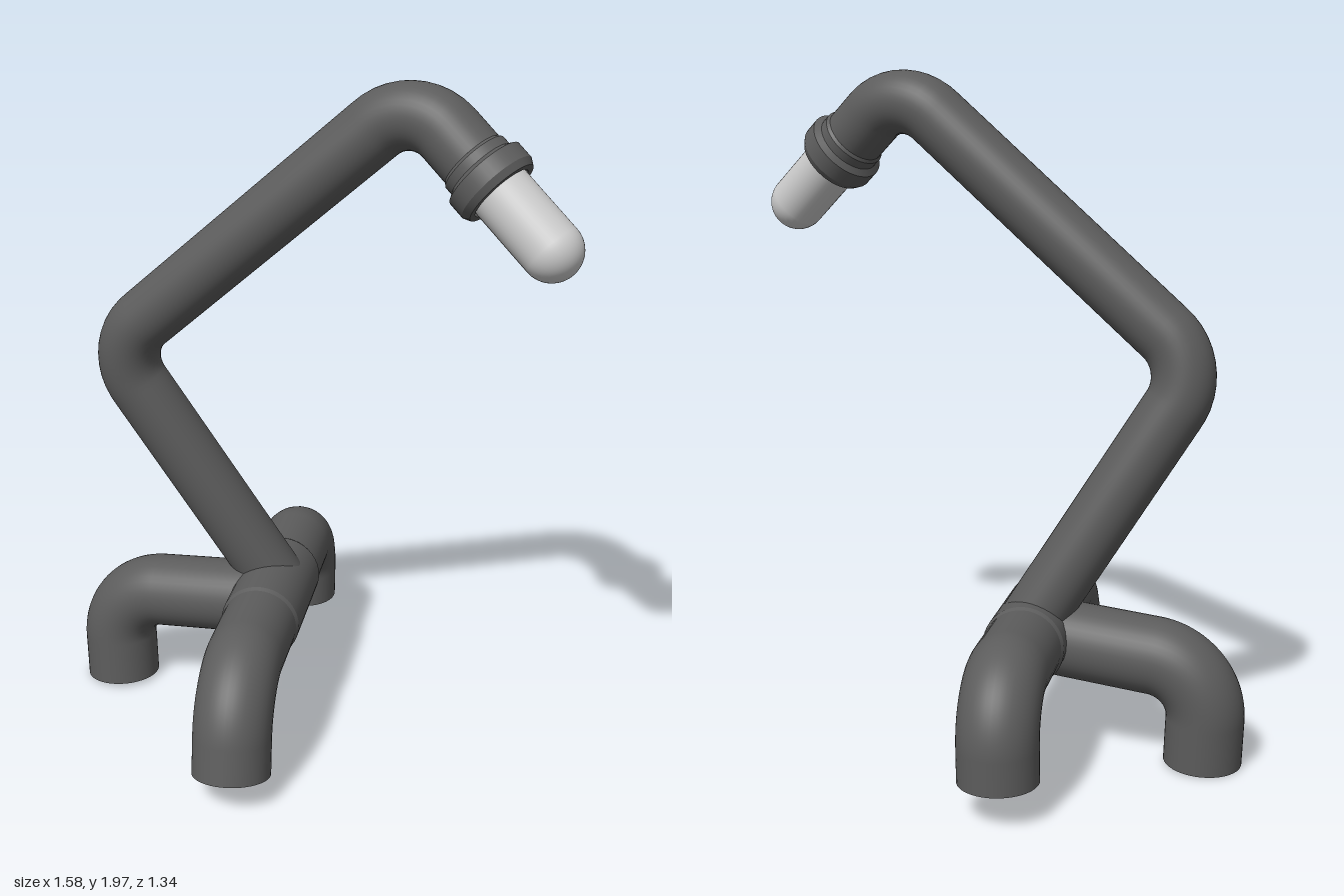
import * as THREE from 'three';

const dark = new THREE.MeshStandardMaterial({ color: 0x5c5c5c });
const pale = new THREE.MeshStandardMaterial({ color: 0xcccccc });
const V = (x, y, z) => new THREE.Vector3(x, y, z);
const toward = (a, b, d) => a.clone().addScaledVector(b.clone().sub(a).normalize(), d);

function named(geometry, material, name) {
  const mesh = new THREE.Mesh(geometry, material);
  mesh.name = name;
  return mesh;
}

// Pipe through the given corners, each corner rounded over length `bend`, with closed ends
function pipe(name, points, radius, bend) {
  const group = new THREE.Group();
  group.name = name;
  const path = new THREE.CurvePath();
  let from = points[0];
  for (let i = 1; i < points.length - 1; i++) {
    const a = toward(points[i], points[i - 1], bend);
    const b = toward(points[i], points[i + 1], bend);
    path.add(new THREE.LineCurve3(from, a));
    // cubic handles give a nearly circular elbow
    path.add(new THREE.CubicBezierCurve3(
      a, a.clone().lerp(points[i], 0.56), b.clone().lerp(points[i], 0.56), b));
    from = b;
  }
  const last = points[points.length - 1];
  path.add(new THREE.LineCurve3(from, last));
  group.add(named(new THREE.TubeGeometry(path, 100, radius, 40), dark, name + 'Tube'));

  [[points[0], points[1]], [last, points[points.length - 2]]].forEach(([end, inner]) => {
    const cap = named(new THREE.CircleGeometry(radius, 40), dark, name + 'Cap');
    cap.position.copy(end);
    cap.quaternion.setFromUnitVectors(V(0, 0, 1), end.clone().sub(inner).normalize());
    group.add(cap);
  });
  return group;
}

// Turned part: sharp-edged profile of [radius, distance], set along an axis
function turned(name, profile, material, origin, direction) {
  const group = new THREE.Group();
  group.name = name;
  for (let i = 0; i < profile.length - 1; i++) {
    const points = [profile[i], profile[i + 1]].map(([r, d]) => new THREE.Vector2(r, d));
    group.add(named(new THREE.LatheGeometry(points, 40), material, name + 'Face'));
  }
  group.position.copy(origin);
  group.quaternion.setFromUnitVectors(V(0, 1, 0), direction);
  return group;
}

export function createModel() {
  const model = new THREE.Group();
  model.name = 'pipeLamp';

  // Three bent legs meeting at the tee
  const backTop = V(-0.25, 0.362, -0.555);
  const frontTop = V(-0.07, 0.342, 0.51);
  const hub = backTop.clone().lerp(frontTop, 0.5);
  const legs = {
    backLeg: [hub, backTop, V(-0.255, 0.108, -0.555)],
    frontLeg: [hub, frontTop, V(-0.06, 0.083, 0.56)],
    rightLeg: [V(-0.155, 0.345, -0.03), V(-0.688, 0.305, -0.015), V(-0.675, 0.012, -0.006)],
  };
  for (const [name, points] of Object.entries(legs)) {
    model.add(pipe(name, points, 0.113, 0.16));
  }

  // Sleeve of the tee along the front and back legs
  const sleeve = [[0.112, -0.19], [0.119, -0.175], [0.119, 0.175], [0.112, 0.19]];
  model.add(turned('teeSleeve', sleeve, dark, hub, frontTop.clone().sub(backTop).normalize()));

  // Arm with its elbow and neck
  const neck = V(0.297, 1.938, 0.06);
  const bulbEnd = V(0.705, 1.575, 0.17);
  const axis = bulbEnd.clone().sub(neck).normalize();
  const arm = [V(-0.155, 0.37, -0.08), V(-0.621, 1.152, 0.08), neck,
    neck.clone().addScaledVector(axis, 0.3)];
  model.add(pipe('arm', arm, 0.093, 0.14));

  // Lamp socket
  const socket = [[0.092, 0.235], [0.1, 0.245], [0.1, 0.272], [0.119, 0.285],
    [0.119, 0.335], [0.108, 0.355], [0.09, 0.355], [0.09, 0.31], [0, 0.31]];
  model.add(turned('socket', socket, dark, neck, axis));

  // Round-ended bulb
  const bulb = named(new THREE.CapsuleGeometry(0.085, 0.22, 16, 40), pale, 'bulb');
  bulb.position.copy(bulbEnd).addScaledVector(axis, -0.11);
  bulb.quaternion.setFromUnitVectors(V(0, 1, 0), axis);
  model.add(bulb);

  return model;
}
